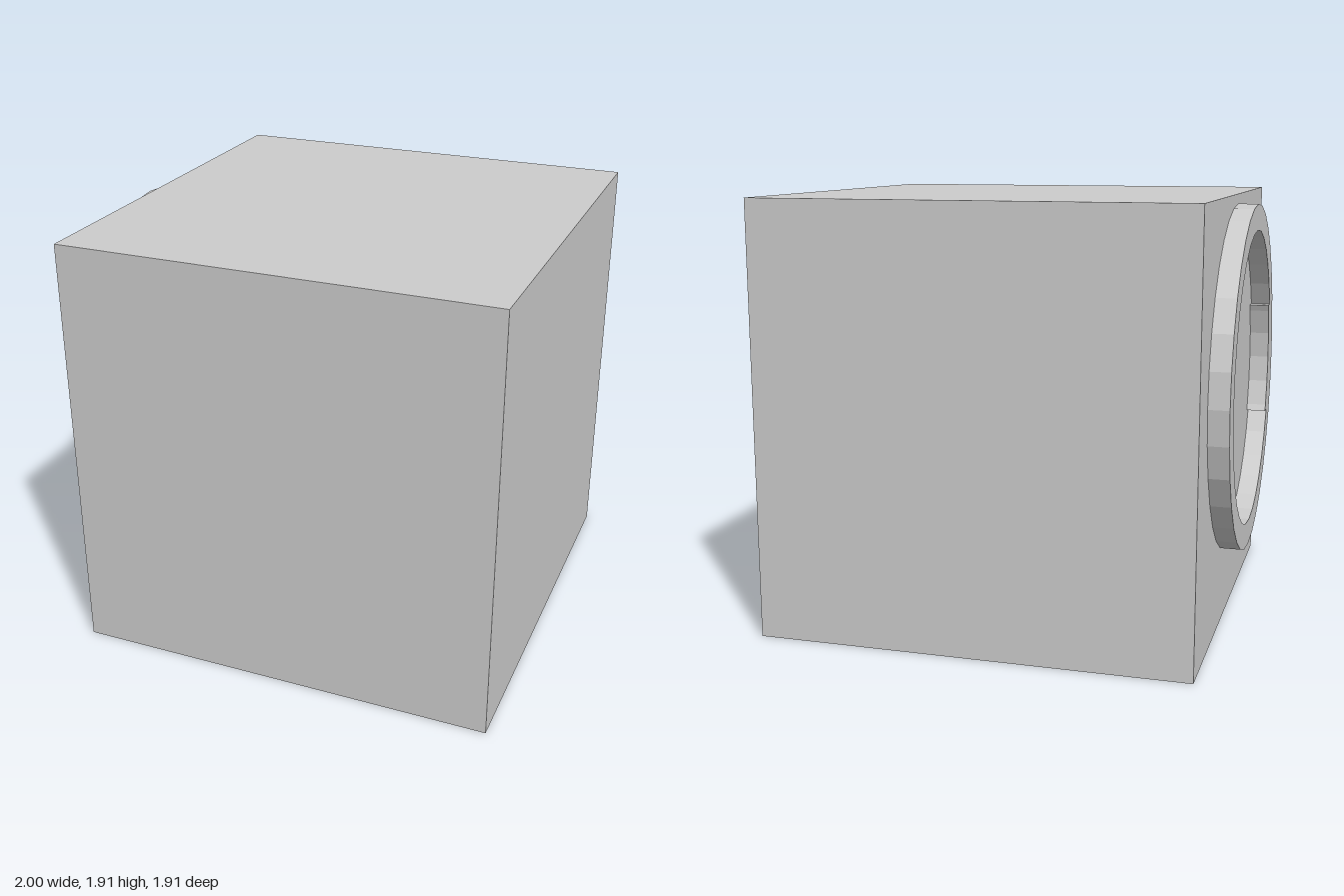
import * as THREE from 'three';

const SIZE = 1.91;         // cube edge
const FACE_X = -0.91;      // cube face that carries the ring
const DEPTH = 0.09;        // ring projection
const OUTER = 0.783, INNER = 0.667, TAB = 0.615; // ring and tab radii
const TAB_HALF = 0.265;    // half height of the tab
const SEGMENTS = 32;

const polar = (r, k) => {
  const a = (k / SEGMENTS) * Math.PI * 2;
  return new THREE.Vector2(r * Math.cos(a), r * Math.sin(a));
};
// Point on a circle of radius r at height y
const atHeight = (r, y) => new THREE.Vector2(Math.sqrt(r * r - y * y), y);

function arc(r, from, to) {
  const points = [];
  for (let k = from; k <= to; k++) points.push(polar(r, k));
  return points;
}

export function createModel() {
  const model = new THREE.Group();
  model.name = 'cubeWithRing';
  const material = new THREE.MeshStandardMaterial({ color: 0xcccccc, flatShading: true });

  // Solid cube
  const cube = new THREE.Mesh(new THREE.BoxGeometry(SIZE, SIZE, SIZE), material);
  cube.name = 'cube';
  cube.position.set(FACE_X + SIZE / 2, SIZE / 2, 0);
  model.add(cube);

  // Raised ring whose opening is narrowed by a straight-sided tab
  const outline = new THREE.Shape(arc(OUTER, 0, SEGMENTS - 1));
  outline.holes.push(new THREE.Path([
    atHeight(INNER, -TAB_HALF),
    atHeight(TAB, -TAB_HALF),
    ...arc(TAB, -2, 2),
    atHeight(TAB, TAB_HALF),
    atHeight(INNER, TAB_HALF),
    ...arc(INNER, 3, SEGMENTS - 3),
  ]));
  const ringGeometry = new THREE.ExtrudeGeometry(outline, { depth: DEPTH, bevelEnabled: false });
  ringGeometry.rotateY(-Math.PI / 2);
  const ring = new THREE.Mesh(ringGeometry, material);
  ring.name = 'tabbedRing';
  ring.position.set(FACE_X, 1.083, 0.03);
  model.add(ring);

  return model;
}
